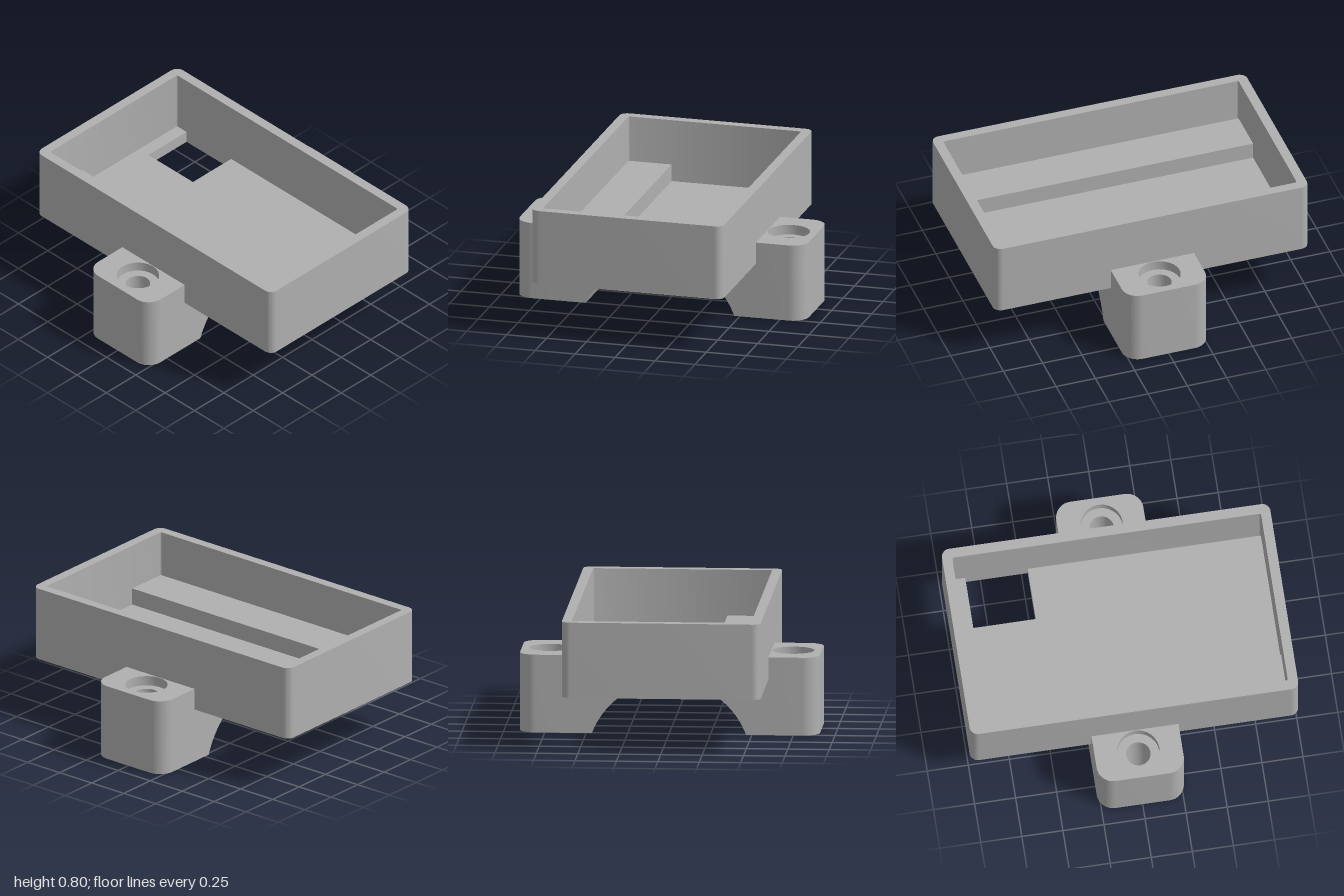
import * as THREE from 'three';
import { toCreasedNormals } from 'three/addons/utils/BufferGeometryUtils.js';

const plastic = new THREE.MeshStandardMaterial({ color: 0xb0b0b0 });
plastic.name = 'grey plastic';

function part(name, geometry) {
  const mesh = new THREE.Mesh(geometry, plastic);
  mesh.name = name;
  return mesh;
}

// Extrudes a plan outline (shape y = -z) upwards from y0 to y1
function slab(name, shape, y0, y1) {
  const g = new THREE.ExtrudeGeometry(shape, { depth: y1 - y0, bevelEnabled: false, curveSegments: 12 });
  g.rotateX(-Math.PI / 2).translate(0, y0, 0);
  return part(name, toCreasedNormals(g, 0.6));
}

// Rectangle with rounded corners, centred on the origin
function roundedRect(w, d, r, Type = THREE.Shape) {
  const s = new Type();
  s.absarc(w - r, d - r, r, 0, Math.PI / 2);
  s.absarc(-w + r, d - r, r, Math.PI / 2, Math.PI);
  s.absarc(-w + r, -d + r, r, Math.PI, Math.PI * 1.5);
  s.absarc(w - r, -d + r, r, Math.PI * 1.5, Math.PI * 2);
  s.closePath();
  return s;
}

const BASE = 0.34, TOP = 0.8, FLOOR = 0.415, LEDGE = 0.52;
const IN_X = 0.94, IN_Z = 0.54, LUG_X = 0.265, LUG_TOP = 0.475;

function createTray() {
  const tray = new THREE.Group();
  tray.name = 'tray';

  // Rim wall
  const wall = roundedRect(1, 0.6, 0.05);
  wall.holes.push(roundedRect(IN_X, IN_Z, 0.008, THREE.Path));
  tray.add(slab('trayWall', wall, BASE, TOP));

  // Floor with a rectangular opening against the back wall
  const floor = new THREE.Shape([
    [-IN_X, -IN_Z], [IN_X, -IN_Z], [IN_X, IN_Z], [-0.48, IN_Z],
    [-0.48, 0.215], [-0.86, 0.215], [-0.86, IN_Z], [-IN_X, IN_Z],
  ].map(([x, y]) => new THREE.Vector2(x, y)));
  tray.add(slab('trayFloor', floor, BASE, FLOOR));

  // Raised ledge along the front wall
  const ledge = part('innerLedge', new THREE.BoxGeometry(IN_X * 2, LEDGE - FLOOR, IN_Z - 0.27));
  ledge.position.set(0, (LEDGE + FLOOR) / 2, (IN_Z + 0.27) / 2);
  tray.add(ledge);
  return tray;
}

// Screw lug with a counterbored hole, on the front side
function createLug(name) {
  const lug = new THREE.Group();
  lug.name = name;
  const outline = (holeRadius) => {
    const r = 0.1, end = -0.905;
    const s = new THREE.Shape();
    s.moveTo(LUG_X, -0.6);
    s.lineTo(-LUG_X, -0.6);
    s.absarc(-LUG_X + r, end + r, r, Math.PI, Math.PI * 1.5);
    s.absarc(LUG_X - r, end + r, r, Math.PI * 1.5, Math.PI * 2);
    s.closePath();
    s.holes.push(new THREE.Path().absarc(0, -0.732, holeRadius, 0, Math.PI * 2, true));
    return s;
  };
  lug.add(slab('lugBody', outline(0.074), 0, FLOOR));
  lug.add(slab('counterboreRim', outline(0.128), FLOOR, LUG_TOP));
  return lug;
}

// Arched saddle between the lugs
function createSaddle() {
  const half = 0.465, rise = 0.323;
  const radius = (half * half + rise * rise) / (2 * rise);
  const cy = rise - radius;
  const a = Math.atan2(-cy, half);
  const s = new THREE.Shape();
  s.moveTo(0.6, 0);
  s.lineTo(0.6, BASE);
  s.lineTo(-0.6, BASE);
  s.lineTo(-0.6, 0);
  s.lineTo(-half, 0);
  s.absarc(0, cy, radius, Math.PI - a, a, true);
  s.closePath();
  const g = new THREE.ExtrudeGeometry(s, { depth: LUG_X * 2, bevelEnabled: false, curveSegments: 40 });
  g.translate(0, 0, -LUG_X).rotateY(Math.PI / 2);
  return part('saddle', toCreasedNormals(g, 0.6));
}

export function createModel() {
  const model = new THREE.Group();
  model.name = 'clampTray';
  const backLug = createLug('backLug');
  backLug.rotation.y = Math.PI;
  model.add(createTray(), createSaddle(), createLug('frontLug'), backLug);
  return model;
}
